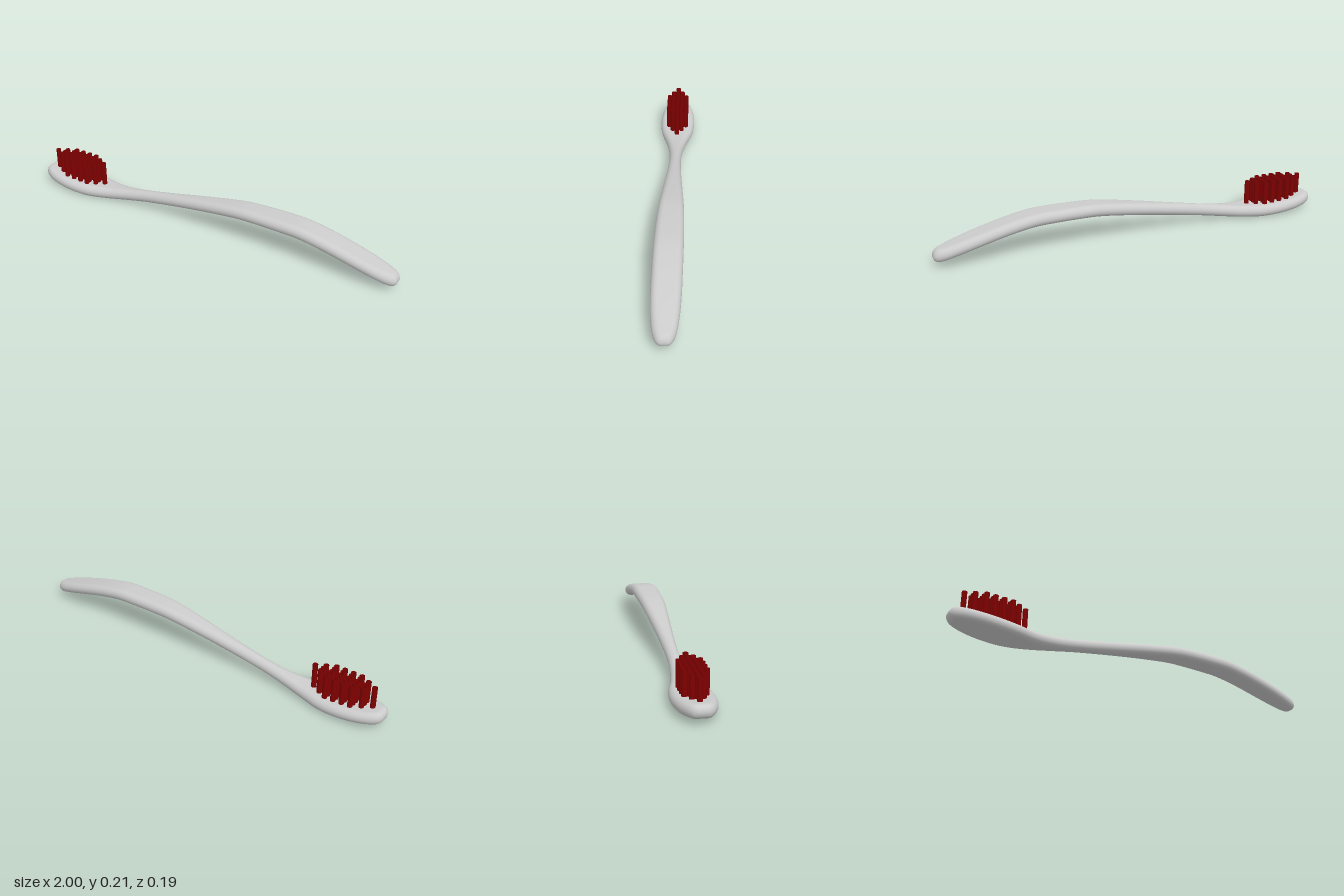
import * as THREE from 'three';

// Stations along the body: x, centre height, half width
const STATIONS = [
  [-1, 0.062, 0.022], [-0.99, 0.061, 0.042], [-0.96, 0.058, 0.064], [-0.9, 0.051, 0.084],
  [-0.8, 0.042, 0.094], [-0.7, 0.037, 0.086], [-0.6, 0.039, 0.06], [-0.5, 0.051, 0.041],
  [-0.38, 0.072, 0.031], [-0.2, 0.106, 0.035], [0, 0.143, 0.047], [0.2, 0.174, 0.06],
  [0.3, 0.179, 0.064], [0.42, 0.18, 0.067], [0.52, 0.177, 0.068], [0.65, 0.155, 0.068],
  [0.8, 0.118, 0.066], [0.9, 0.09, 0.059], [0.96, 0.073, 0.048], [0.99, 0.066, 0.033], [1, 0.064, 0.018],
];
const HALF_THICKNESS = 0.031;

// Loft of stadium-shaped sections with rounded tips
function bodyGeometry(steps = 120, arc = 10) {
  const curve = new THREE.CatmullRomCurve3(STATIONS.map((s) => new THREE.Vector3(...s)), false, 'centripetal');
  const positions = [], indices = [];
  const ring = 2 * (arc + 1);
  for (let i = 0; i <= steps; i++) {
    const p = curve.getPoint((1 - Math.cos((Math.PI * i) / steps)) / 2);
    const d = Math.min(1, Math.max(0, 1 - Math.abs(p.x)) / 0.03);
    const r = Math.min(HALF_THICKNESS * Math.sqrt(1 - (1 - d) ** 2), p.z);
    for (let side = 0; side < 2; side++) {
      for (let k = 0; k <= arc; k++) {
        const a = -Math.PI / 2 + Math.PI * (side + k / arc);
        const centre = (side ? -1 : 1) * (p.z - r);
        positions.push(p.x, p.y + r * Math.sin(a), centre + r * Math.cos(a));
      }
    }
  }
  for (let i = 0; i < steps; i++) {
    for (let j = 0; j < ring; j++) {
      const a = i * ring + j, b = i * ring + ((j + 1) % ring);
      indices.push(a, a + ring, b, b, a + ring, b + ring);
    }
  }
  const geometry = new THREE.BufferGeometry();
  geometry.setAttribute('position', new THREE.Float32BufferAttribute(positions, 3));
  geometry.setIndex(indices);
  geometry.computeVertexNormals();
  return geometry;
}

export function createModel() {
  const model = new THREE.Group();
  model.name = 'toothbrush';

  const body = new THREE.Mesh(bodyGeometry(), new THREE.MeshStandardMaterial({ color: 0xcccccc }));
  body.name = 'handleAndHead';
  model.add(body);

  // Staggered rows of open tufts, shorter towards the sides
  const bristles = new THREE.Group();
  bristles.name = 'bristles';
  const material = new THREE.MeshStandardMaterial({ color: 0x800000, side: THREE.DoubleSide });
  const bottom = 0.045, top = 0.19;
  const tuft = new THREE.CylinderGeometry(0.0125, 0.0125, top - bottom, 12, 1, true);
  const rows = [
    { z: 0, from: -0.935, count: 8 },
    { z: 0.024, from: -0.892, count: 6 },
    { z: 0.046, from: -0.847, count: 4 },
  ];
  for (const { z, from, count } of rows) {
    for (const side of z ? [-1, 1] : [1]) {
      for (let i = 0; i < count; i++) {
        const mesh = new THREE.Mesh(tuft, material);
        mesh.name = 'tuft';
        mesh.position.set(from + i * 0.043, (top + bottom) / 2, side * z);
        bristles.add(mesh);
      }
    }
  }
  model.add(bristles);
  return model;
}
